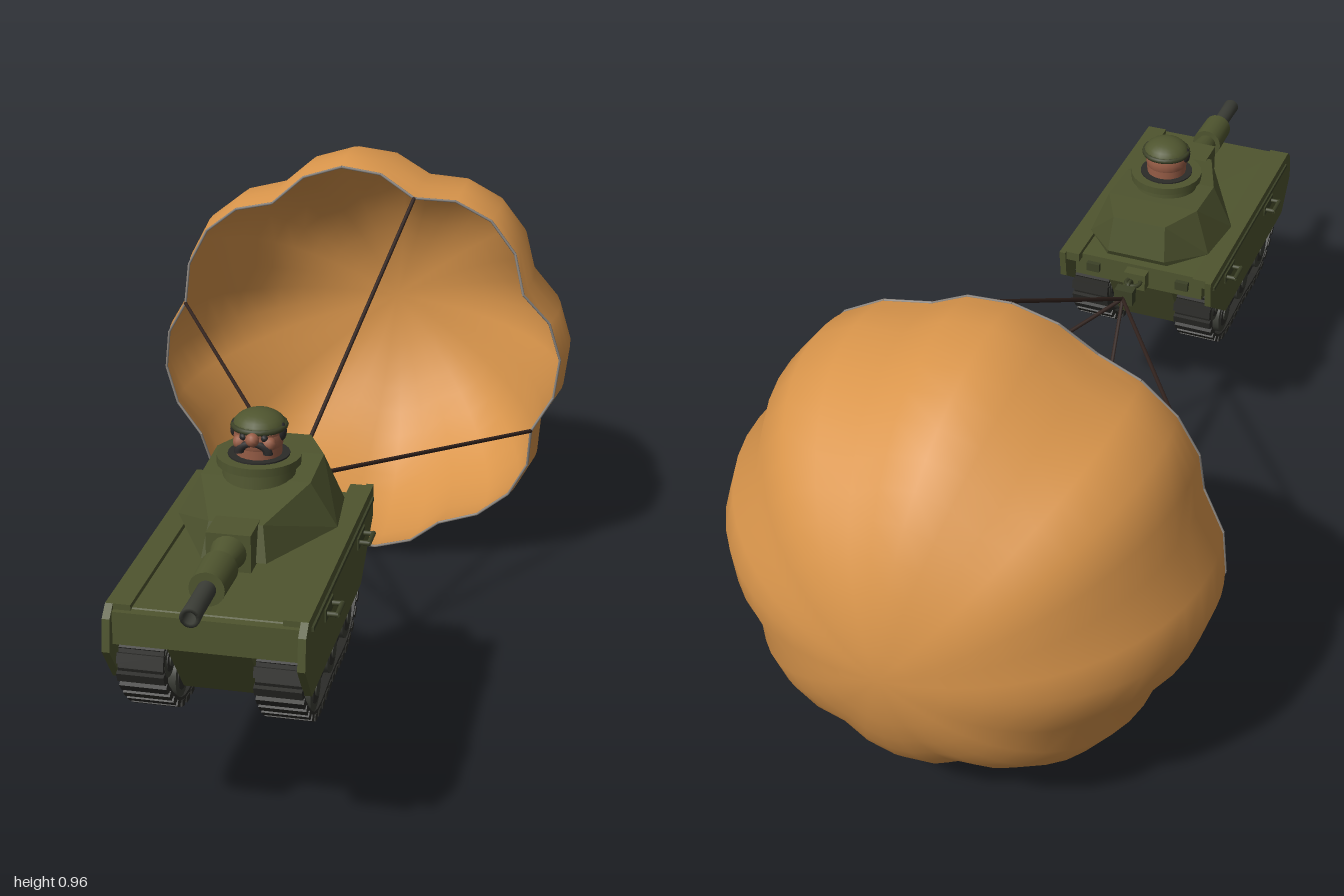
import * as THREE from 'three';
import { mergeVertices } from 'three/addons/utils/BufferGeometryUtils.js';
import { ConvexGeometry } from 'three/addons/geometries/ConvexGeometry.js';

const mat = (name, color, extra = {}) => {
  const m = new THREE.MeshStandardMaterial({ color, ...extra });
  m.name = name;
  return m;
};

export function createModel() {
  const group = new THREE.Group();
  const olive = mat('olive', 0x4f552f);
  const darkOlive = mat('dark olive', 0x3c4127);
  const rubber = mat('track rubber', 0x2b2b28);
  const wheelGrey = mat('wheel grey', 0x3b3d36);
  const orange = mat('canopy orange', 0xd9954b, { side: THREE.DoubleSide });
  const hemGrey = mat('hem grey', 0x8c8680);
  const ropeBrown = mat('rope brown', 0x33241f);
  const skin = mat('skin', 0x9a5f48);
  const hair = mat('hair', 0x2c2a2a);

  const add = (name, geo, material, x = 0, y = 0, z = 0, parent = group) => {
    const m = new THREE.Mesh(geo, material);
    m.name = name;
    m.position.set(x, y, z);
    parent.add(m);
    return m;
  };
  const box = (w, h, d) => new THREE.BoxGeometry(w, h, d);
  // cylinder lying along z (front radius, back radius)
  const cylZ = (rf, rb, len, n = 20) => new THREE.CylinderGeometry(rf, rb, len, n).rotateX(Math.PI / 2);
  const cylX = (r, len, n = 16) => new THREE.CylinderGeometry(r, r, len, n).rotateZ(Math.PI / 2);
  // side profile of [z, y] points extruded across x and centred on x = 0
  const side = (pts, width) => {
    const shape = new THREE.Shape(pts.map(([z, y]) => new THREE.Vector2(z, y)));
    return new THREE.ExtrudeGeometry(shape, { depth: width, bevelEnabled: false })
      .rotateY(-Math.PI / 2).translate(width / 2, 0, 0);
  };
  const mirror = f => [-1, 1].forEach(f);

  // ---- canopy: eight billowing lobes around the z axis ----
  const CY = 0.487, PHASE = 0.3, RIM = 0.45;
  const lobe = t => Math.pow(Math.abs(Math.sin(4 * (t - PHASE))), 0.85);
  const warp = (r, depth, t) => {
    const l = lobe(t), k = Math.min(1, 0.35 + r / 0.6);
    const rimFade = Math.max(0, 1 - (depth - RIM) / 0.12);
    const rr = r * (1 - 0.085 * k * (1 - l));
    return new THREE.Vector3(rr * Math.sin(t), CY + rr * Math.cos(t), -(depth + 0.022 * l * rimFade));
  };
  const profile = [[0.469, RIM], [0.477, 0.49], [0.482, 0.53]];
  for (let i = 0; i <= 12; i++) {
    const a = (i / 12) * Math.PI / 2;
    profile.push([i === 12 ? 0 : 0.483 * Math.cos(a), 0.57 + 0.43 * Math.sin(a)]);
  }
  let canopy = new THREE.LatheGeometry(profile.map(p => new THREE.Vector2(...p)), 32, PHASE);
  canopy.deleteAttribute('uv');
  canopy.deleteAttribute('normal');
  const cp = canopy.attributes.position;
  for (let i = 0; i < cp.count; i++) {
    const x = cp.getX(i), z = cp.getZ(i);
    const v = warp(Math.hypot(x, z), cp.getY(i), Math.atan2(x, z));
    cp.setXYZ(i, v.x, v.y, v.z);
  }
  canopy = mergeVertices(canopy, 1e-5);
  canopy.computeVertexNormals();
  add('canopy', canopy, orange);

  // hem and ropes
  const strut = (name, a, b, r, material) => {
    const m = add(name, new THREE.CylinderGeometry(r, r, a.distanceTo(b), 6), material);
    m.position.copy(a).add(b).multiplyScalar(0.5);
    m.quaternion.setFromUnitVectors(new THREE.Vector3(0, 1, 0), b.clone().sub(a).normalize());
  };
  const rim = i => warp(0.469, RIM, PHASE + i * Math.PI / 16);
  for (let i = 0; i < 32; i++) strut('hem', rim(i), rim(i + 1), 0.003, hemGrey);
  for (let i = 0; i < 4; i++) strut('rope', new THREE.Vector3(0, 0.49, 0.23), rim(i * 8), 0.0045, ropeBrown);

  // rope coupling and tow hook
  add('ropeCoupling', box(0.042, 0.036, 0.024), darkOlive, 0, 0.49, 0.245);
  add('towLink', new THREE.TorusGeometry(0.016, 0.004, 6, 14).rotateY(Math.PI / 2), darkOlive, 0, 0.49, 0.274);
  add('towEye', new THREE.TorusGeometry(0.016, 0.005, 6, 14).rotateX(Math.PI / 2), darkOlive, 0, 0.49, 0.298);
  add('towMount', box(0.05, 0.04, 0.03), olive, 0, 0.487, 0.32);

  // ---- hull ----
  add('deck', side([[0.33, 0.515], [0.33, 0.46], [0.37, 0.45], [0.895, 0.45], [0.91, 0.465], [0.91, 0.5], [0.89, 0.516]], 0.3), olive);
  add('frontLip', box(0.335, 0.062, 0.05), olive, 0, 0.483, 0.885);
  add('belly', side([[0.335, 0.47], [0.42, 0.315], [0.79, 0.315], [0.895, 0.45], [0.895, 0.47]], 0.15), olive);
  const skirt = [[0.9, 0.525], [0.922, 0.505], [0.93, 0.445], [0.875, 0.37], [0.43, 0.37], [0.31, 0.46], [0.303, 0.525]];
  mirror(s => {
    add('sideSkirt', side(skirt, 0.014), olive, s * 0.172, 0, 0);
    add('fender', box(0.042, 0.02, 0.59), olive, s * 0.155, 0.515, 0.605);
    add('skirtRail', box(0.006, 0.008, 0.56), darkOlive, s * 0.18, 0.502, 0.6);
    add('rearLamp', box(0.03, 0.02, 0.012), darkOlive, s * 0.105, 0.49, 0.325);
    // grab handles
    for (const z of [0.44, 0.74]) {
      add('handleRail', new THREE.CylinderGeometry(0.005, 0.005, 0.05, 8).rotateX(Math.PI / 2), darkOlive, s * 0.2, 0.473, z);
      for (const e of [-0.022, 0.022]) add('handlePost', cylX(0.005, 0.026, 8), darkOlive, s * 0.189, 0.473, z + e);
      add('handlePlate', box(0.004, 0.024, 0.066), darkOlive, s * 0.18, 0.473, z);
    }
  });

  // ---- tracks and wheels ----
  const path = new THREE.CatmullRomCurve3([[0.47, 0.277], [0.62, 0.277], [0.77, 0.277], [0.84, 0.325], [0.885, 0.395],
    [0.865, 0.438], [0.8, 0.442], [0.42, 0.442], [0.365, 0.42], [0.365, 0.375], [0.41, 0.31]]
    .map(([z, y]) => new THREE.Vector3(0, y, z)), true, 'centripetal');
  const LINKS = 40, step = path.getLength() / LINKS;
  const loop = path.getSpacedPoints(60).slice(0, -1).map(p => [p.z, p.y]);
  mirror(s => {
    const track = new THREE.Group();
    track.name = 'track';
    track.position.x = s * 0.123;
    group.add(track);
    add('trackCore', side(loop, 0.05), rubber, 0, 0, 0, track);
    for (let i = 0; i < LINKS; i++) {
      const p = path.getPointAt(i / LINKS), d = path.getTangentAt(i / LINKS);
      const angle = Math.atan2(-d.y, d.z);
      add('trackBelt', box(0.082, 0.01, step * 1.1), rubber, 0, p.y, p.z, track).rotation.x = angle;
      const pad = add('trackPad', box(0.086, 0.012, step * 0.62), rubber, 0, p.y, p.z, track);
      pad.rotation.x = angle;
      pad.translateY(-0.007);
    }
    for (const [z, y, r] of [[0.765, 0.328, 0.046], [0.62, 0.328, 0.046], [0.48, 0.328, 0.046], [0.84, 0.395, 0.033], [0.405, 0.395, 0.033]]) {
      add('wheel', cylX(r, 0.078, 20), wheelGrey, 0, y, z, track);
      add('wheelDish', cylX(r * 0.68, 0.082, 16), rubber, 0, y, z, track);
      add('wheelHub', cylX(r * 0.38, 0.088, 12), wheelGrey, 0, y, z, track);
    }
  });

  // ---- turret ----
  add('turretRing', new THREE.CylinderGeometry(0.08, 0.08, 0.03, 24), darkOlive, 0, 0.525, 0.52);
  const turretPts = [];
  for (const [x, y, z] of [[0.07, 0.537, 0.32], [0.14, 0.535, 0.4], [0.153, 0.533, 0.53], [0.06, 0.533, 0.71], [0.066, 0.55, 0.313],
    [0.06, 0.63, 0.33], [0.104, 0.63, 0.42], [0.104, 0.622, 0.54], [0.05, 0.598, 0.69]])
    mirror(s => turretPts.push(new THREE.Vector3(s * x, y, z)));
  add('turret', new ConvexGeometry(turretPts), olive);

  // gun
  const GY = 0.565;
  add('mantlet', box(0.082, 0.072, 0.1), olive, 0, GY, 0.695);
  add('gunCollar', cylZ(0.022, 0.034, 0.07), olive, 0, GY, 0.775);
  add('gunSleeve', cylZ(0.032, 0.034, 0.085), olive, 0, GY, 0.85);
  add('barrel', new THREE.LatheGeometry([[0.017, 0], [0.017, 0.16], [0.018, 0.2], [0.011, 0.2], [0.011, 0.13], [0, 0.13]]
    .map(p => new THREE.Vector2(...p)), 18).rotateX(Math.PI / 2), wheelGrey, 0, GY, 0.8);

  // cupola
  const CZ = 0.51;
  add('cupolaBase', new THREE.CylinderGeometry(0.066, 0.07, 0.035, 24), olive, 0, 0.631, CZ);
  add('cupolaRim', new THREE.CylinderGeometry(0.079, 0.079, 0.016, 24), olive, 0, 0.652, CZ);
  add('cupolaOpening', new THREE.CylinderGeometry(0.058, 0.058, 0.004, 24), rubber, 0, 0.661, CZ);

  // ---- commander ----
  const head = new THREE.Group();
  head.name = 'commander';
  head.position.set(0, 0, CZ);
  group.add(head);
  add('jaw', new THREE.CylinderGeometry(0.046, 0.043, 0.055, 20), skin, 0, 0.683, 0, head);
  add('skull', new THREE.SphereGeometry(0.047, 20, 14), skin, 0, 0.695, 0, head);
  add('nose', new THREE.SphereGeometry(0.013, 12, 8), skin, 0, 0.706, 0.051, head);
  add('moustache', new THREE.TorusGeometry(0.025, 0.0085, 8, 14, Math.PI), hair, 0, 0.677, 0.043, head).scale.set(1.1, 0.75, 1);
  add('cap', new THREE.SphereGeometry(0.051, 20, 8, 0, Math.PI * 2, 0, Math.PI / 2), olive, 0, 0.712, -0.006, head).scale.y = 0.66;
  add('capBand', new THREE.TorusGeometry(0.048, 0.006, 8, 24).rotateX(Math.PI / 2), darkOlive, 0, 0.716, -0.006, head);
  mirror(s => {
    add('earPad', new THREE.SphereGeometry(0.015, 10, 8), hair, s * 0.043, 0.708, 0.002, head).scale.set(0.7, 1.2, 1);
    add('eye', new THREE.SphereGeometry(0.007, 8, 6), hair, s * 0.02, 0.707, 0.04, head);
    add('cheek', new THREE.SphereGeometry(0.014, 10, 8), skin, s * 0.027, 0.694, 0.034, head);
  });
  return group;
}
